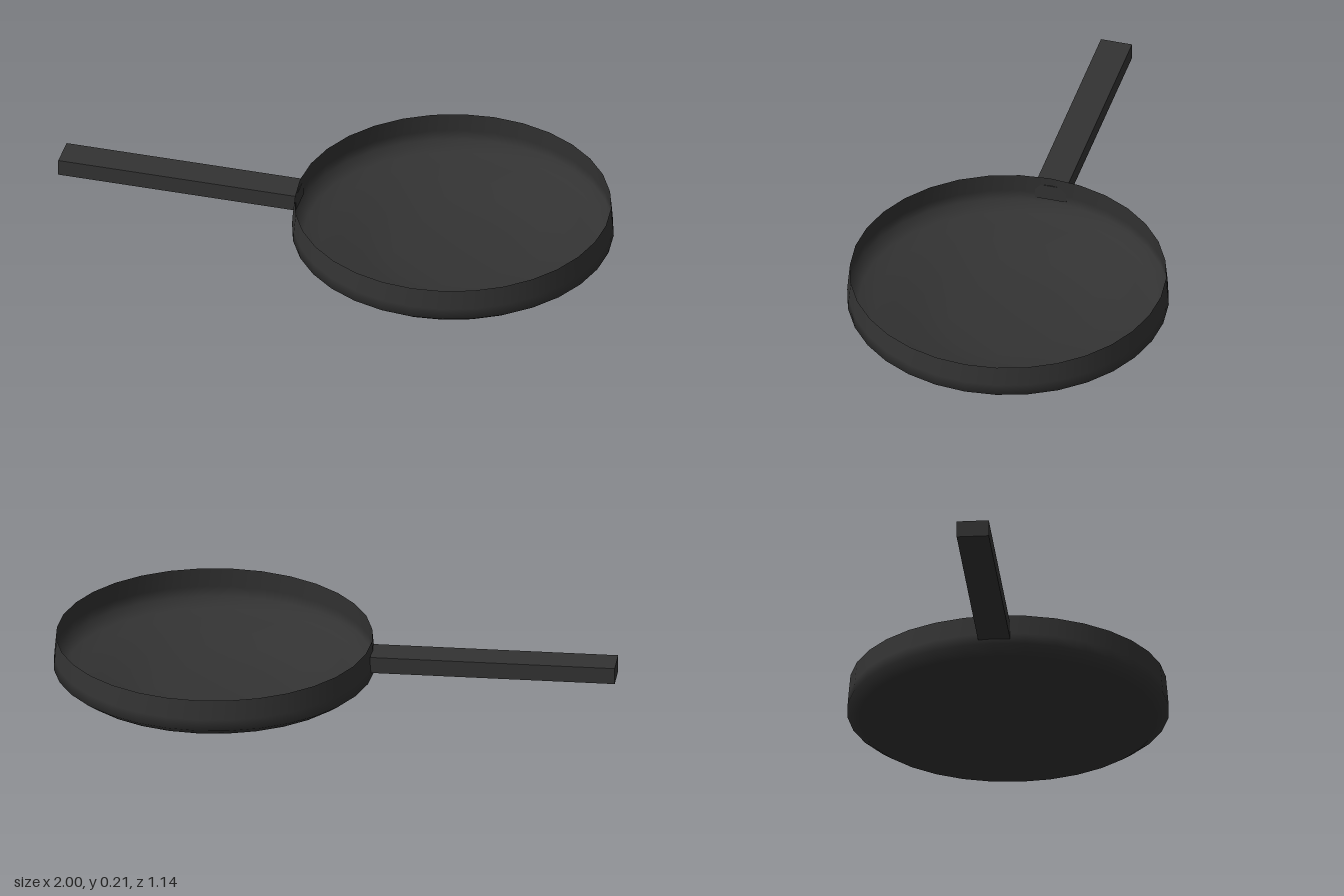
import * as THREE from 'three';

export function createModel() {
  const group = new THREE.Group();
  const iron = new THREE.MeshStandardMaterial({ color: 0x333333, side: THREE.DoubleSide });

  // Thin open pan: flat base, shallow sloping floor, rounded corner, upright wall
  const profile = [
    [0, 0], [0.21, 0], [0.32, 0.025], [0.4, 0.042], [0.47, 0.063],
    [0.53, 0.071], [0.57, 0.1], [0.567, 0.14], [0.56, 0.213],
  ].map(([r, y]) => new THREE.Vector2(r, y));
  const pan = new THREE.Mesh(new THREE.LatheGeometry(profile, 32), iron);
  pan.name = 'pan';
  pan.position.x = 0.43;
  group.add(pan);

  // Straight square-edged handle meeting the pan wall
  const handle = new THREE.Mesh(new THREE.BoxGeometry(0.87, 0.06, 0.114), iron);
  handle.name = 'handle';
  handle.position.set(-0.565, 0.148, 0);
  group.add(handle);

  return group;
}
